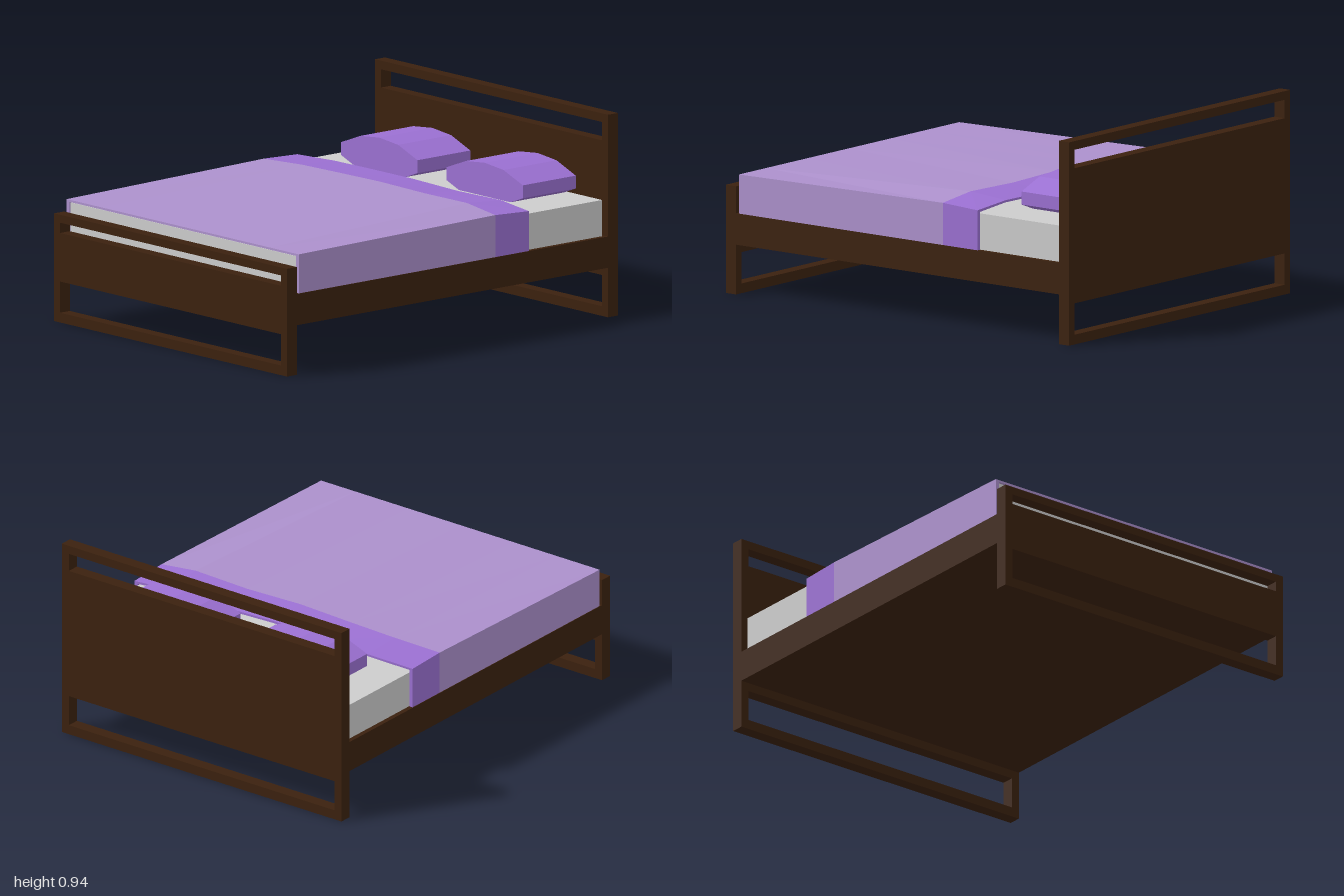
import * as THREE from 'three';

const mat = (name, color, extra = {}) =>
  Object.assign(new THREE.MeshStandardMaterial({ color, ...extra }), { name });

export function createModel() {
  const wood = mat('dark wood', 0x3b210e);
  const sheet = mat('mattress grey', 0xcccccc);
  const lilac = mat('lilac cover', 0xac90cc);
  const violet = mat('violet linen', 0x9b70d2);
  const bed = new THREE.Group();
  bed.name = 'bed';

  const add = (name, geometry, material) => {
    const mesh = new THREE.Mesh(geometry, material);
    mesh.name = name;
    bed.add(mesh);
    return mesh;
  };
  const box = (name, x, y0, y1, z0, z1, material) =>
    add(name, new THREE.BoxGeometry(2 * x, y1 - y0, z1 - z0), material)
      .position.set(0, (y0 + y1) / 2, (z0 + z1) / 2);
  const polygon = (Type, pts) => new Type(pts.map(([x, y]) => new THREE.Vector2(x, y)));
  const rect = (x, y0, y1) => [[-x, y0], [x, y0], [x, y1], [-x, y1]];

  // End boards: one slab each, with two long slots
  function board(name, height, slots, z) {
    const shape = polygon(THREE.Shape, rect(0.8, 0, height));
    for (const [y0, y1] of slots) shape.holes.push(polygon(THREE.Path, rect(0.76, y0, y1)));
    const geometry = new THREE.ExtrudeGeometry(shape, { depth: 0.06, bevelEnabled: false });
    add(name, geometry, wood).position.z = z;
  }
  board('headboard', 0.94, [[0.045, 0.19], [0.815, 0.9]], -1);
  board('footboard', 0.5, [[0.045, 0.19], [0.415, 0.463]], 0.94);

  // Base and mattress
  box('base', 0.8, 0.23, 0.375, -0.94, 0.94, wood);
  box('mattress', 0.777, 0.375, 0.543, -0.925, 0.92, sheet);

  // Pillows: faceted lens section extruded along z
  const arch = [[-0.262, 0.03], [-0.13, 0.08], [0, 0.093], [0.13, 0.08], [0.262, 0.03]];
  const lens = [...arch, ...arch.map(([x, y]) => [-x, -y])].reverse();
  for (const [name, x] of [['rightPillow', -0.362], ['leftPillow', 0.362]]) {
    const geometry = new THREE.ExtrudeGeometry(polygon(THREE.Shape, lens), { depth: 0.32, bevelEnabled: false });
    add(name, geometry, violet).position.set(x, 0.605, -0.9);
  }

  // Blanket cross-sections: heights and z at each column, from right to left
  const columns = [-0.797, -0.55, -0.3, 0, 0.3, 0.6, 0.797];
  const section = (heights, depths) => {
    const outer = columns.map((x, i) => [x, heights[i], depths[i]]);
    outer.unshift([-0.797, 0.372, depths[0]]);
    outer.push([0.797, 0.372, depths[6]]);
    const inner = outer.map(([x, y, z], i) =>
      [Math.sign(x) * Math.min(Math.abs(x), 0.779), i % 8 ? y - 0.01 : y, z]);
    return { outer, inner };
  };
  const foot = section(Array(7).fill(0.556), Array(7).fill(0.926));
  const crease = section([0.575, 0.585, 0.59, 0.596, 0.59, 0.594, 0.57],
    [-0.265, -0.278, -0.275, -0.268, -0.272, -0.265, -0.262]);
  const hem = section([0.567, 0.575, 0.578, 0.582, 0.574, 0.578, 0.56],
    [-0.467, -0.477, -0.475, -0.464, -0.468, -0.47, -0.464]);

  // Thin shell between two cross-sections, with rims at both ends
  function shell(name, front, back, material) {
    const pos = [];
    const quad = (a, b, c, d) => pos.push(...a, ...b, ...c, ...a, ...c, ...d);
    for (let i = 0; i < 8; i++) {
      const [f, b] = [front, back], k = i + 1;
      quad(f.outer[i], f.outer[k], b.outer[k], b.outer[i]);
      quad(f.inner[k], f.inner[i], b.inner[i], b.inner[k]);
      quad(f.outer[k], f.outer[i], f.inner[i], f.inner[k]);
      quad(b.outer[i], b.outer[k], b.inner[k], b.inner[i]);
    }
    const geometry = new THREE.BufferGeometry();
    geometry.setAttribute('position', new THREE.Float32BufferAttribute(pos, 3));
    geometry.computeVertexNormals();
    add(name, geometry, material);
  }
  shell('blanket', foot, crease, lilac);
  shell('blanketFold', crease, hem, violet);

  return bed;
}
